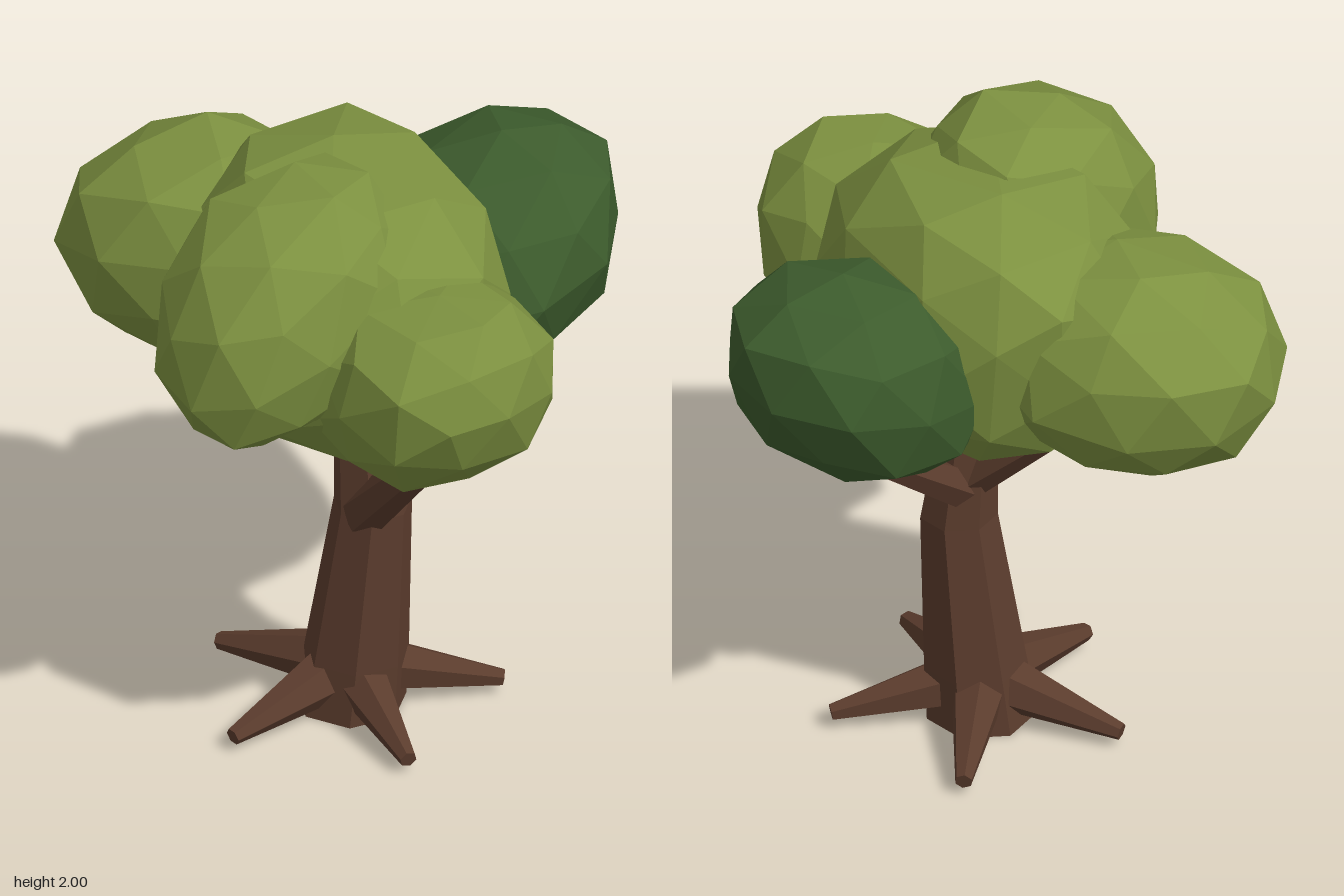
import * as THREE from 'three';
import { mergeVertices } from 'three/addons/utils/BufferGeometryUtils.js';

const mat = (name, color) => {
  const m = new THREE.MeshStandardMaterial({ color, flatShading: true });
  m.name = name;
  return m;
};

// Faceted leaf clump: jittered, stretched along an axis and fitted to a box;
// a power below 1 fills out the corners of the box
function clumpGeometry({ min, max, axis, stretch, power, seed }) {
  let g = new THREE.IcosahedronGeometry(1, 1);
  g.deleteAttribute('normal');
  g.deleteAttribute('uv');
  g = mergeVertices(g, 1e-3);
  g.rotateX(seed).rotateY(seed * 2);
  let s = seed;
  const rand = () => (s = (s * 16807) % 2147483647) / 2147483647;
  for (let i = 0; i < 20; i++) rand();

  const p = g.attributes.position;
  const v = new THREE.Vector3();
  const dir = new THREE.Vector3(...axis).normalize();
  for (let i = 0; i < p.count; i++) {
    v.fromBufferAttribute(p, i).multiplyScalar(0.95 + 0.1 * rand());
    v.addScaledVector(dir, v.dot(dir) * (stretch - 1));
    p.setXYZ(i, v.x, v.y, v.z);
  }

  g.computeBoundingBox();
  const { min: lo, max: hi } = g.boundingBox;
  for (let i = 0; i < p.count; i++) {
    for (let k = 0; k < 3; k++) {
      const a = lo.getComponent(k), b = hi.getComponent(k);
      const t = (2 * p.getComponent(i, k) - a - b) / (b - a);
      const full = Math.sign(t) * Math.abs(t) ** power;
      p.setComponent(i, k, (min[k] + max[k]) / 2 + full * (max[k] - min[k]) / 2);
    }
  }
  g.computeVertexNormals();
  return g;
}

// Tapered limb between two points
function limbGeometry(from, to, r0, r1, sides = 6) {
  const a = new THREE.Vector3(...from), b = new THREE.Vector3(...to);
  const dir = b.clone().sub(a);
  const g = new THREE.CylinderGeometry(r1, r0, dir.length(), sides);
  g.applyQuaternion(new THREE.Quaternion().setFromUnitVectors(
    new THREE.Vector3(0, 1, 0), dir.normalize()));
  const c = a.add(b).multiplyScalar(0.5);
  return g.translate(c.x, c.y, c.z);
}

// Trunk: a cylinder whose rings follow [y, centre x, centre z, radius]
function trunkGeometry() {
  const rings = [
    [1.2, -0.05, 0.05, 0.078],
    [0.71, -0.025, 0.085, 0.12],
    [0.18, -0.055, 0.045, 0.16],
    [0, -0.065, 0.03, 0.17],
  ];
  const g = new THREE.CylinderGeometry(1, 1, 3, 7, 3, false, 0.21);
  const p = g.attributes.position;
  for (let i = 0; i < p.count; i++) {
    const [y, cx, cz, r] = rings[Math.round(1.5 - p.getY(i))];
    p.setXYZ(i, cx + p.getX(i) * r, y, cz + p.getZ(i) * r);
  }
  g.computeVertexNormals();
  return g;
}

export function createModel() {
  const bark = mat('bark brown', 0x5b3c2d);
  const leaf = mat('leaf green', 0x7d9140);
  const darkLeaf = mat('dark leaf green', 0x3d5c2d);
  const tree = new THREE.Group();
  tree.name = 'tree';
  const add = (name, geometry, material) => {
    const mesh = new THREE.Mesh(geometry, material);
    mesh.name = name;
    tree.add(mesh);
  };

  add('trunk', trunkGeometry(), bark);

  // Five roots spread evenly round the base
  for (let i = 0; i < 5; i++) {
    const a = THREE.MathUtils.degToRad(178 - 72 * i);
    const at = (r, y) => [-0.065 + r * Math.cos(a), y, 0.025 + r * Math.sin(a)];
    add('root' + (i + 1), limbGeometry(at(0.08, 0.12), at(0.46, 0.05), 0.088, 0.027), bark);
  }

  // Branches reaching into the crown
  add('frontBranch', limbGeometry([-0.07, 0.7, 0.1], [-0.145, 1.19, 0.58], 0.078, 0.045), bark);
  add('leftBranch', limbGeometry([-0.01, 0.82, 0.05], [0.45, 1.17, 0.05], 0.07, 0.042), bark);
  add('backBranch', limbGeometry([-0.03, 0.86, 0.04], [-0.14, 1.19, -0.32], 0.07, 0.04), bark);

  // Crown
  add('middleLeaves', clumpGeometry({
    min: [-0.55, 1.05, -0.48], max: [0.37, 1.93, 0.61],
    axis: [0.6, 0.25, -0.6], stretch: 1.18, power: 0.8, seed: 3,
  }), leaf);
  add('rightLeaves', clumpGeometry({
    min: [-0.845, 1.23, -0.19], max: [-0.03, 2, 0.5],
    axis: [0.74, 0.66, -0.12], stretch: 1.4, power: 0.93, seed: 7,
  }), leaf);
  add('frontLeaves', clumpGeometry({
    min: [-0.52, 1.08, 0.14], max: [0.2, 1.74, 0.91],
    axis: [0, 0.5, 0.83], stretch: 1.25, power: 0.94, seed: 11,
  }), leaf);
  add('backLeaves', clumpGeometry({
    min: [-0.62, 1.09, -0.91], max: [0.2, 1.81, -0.05],
    axis: [0.7, 0.2, 0.6], stretch: 1.2, power: 0.94, seed: 17,
  }), leaf);
  add('leftLeaves', clumpGeometry({
    min: [0.02, 1.07, -0.31], max: [0.84, 1.82, 0.46],
    axis: [0.8, 0.58, 0], stretch: 1.4, power: 0.96, seed: 23,
  }), darkLeaf);

  return tree;
}
